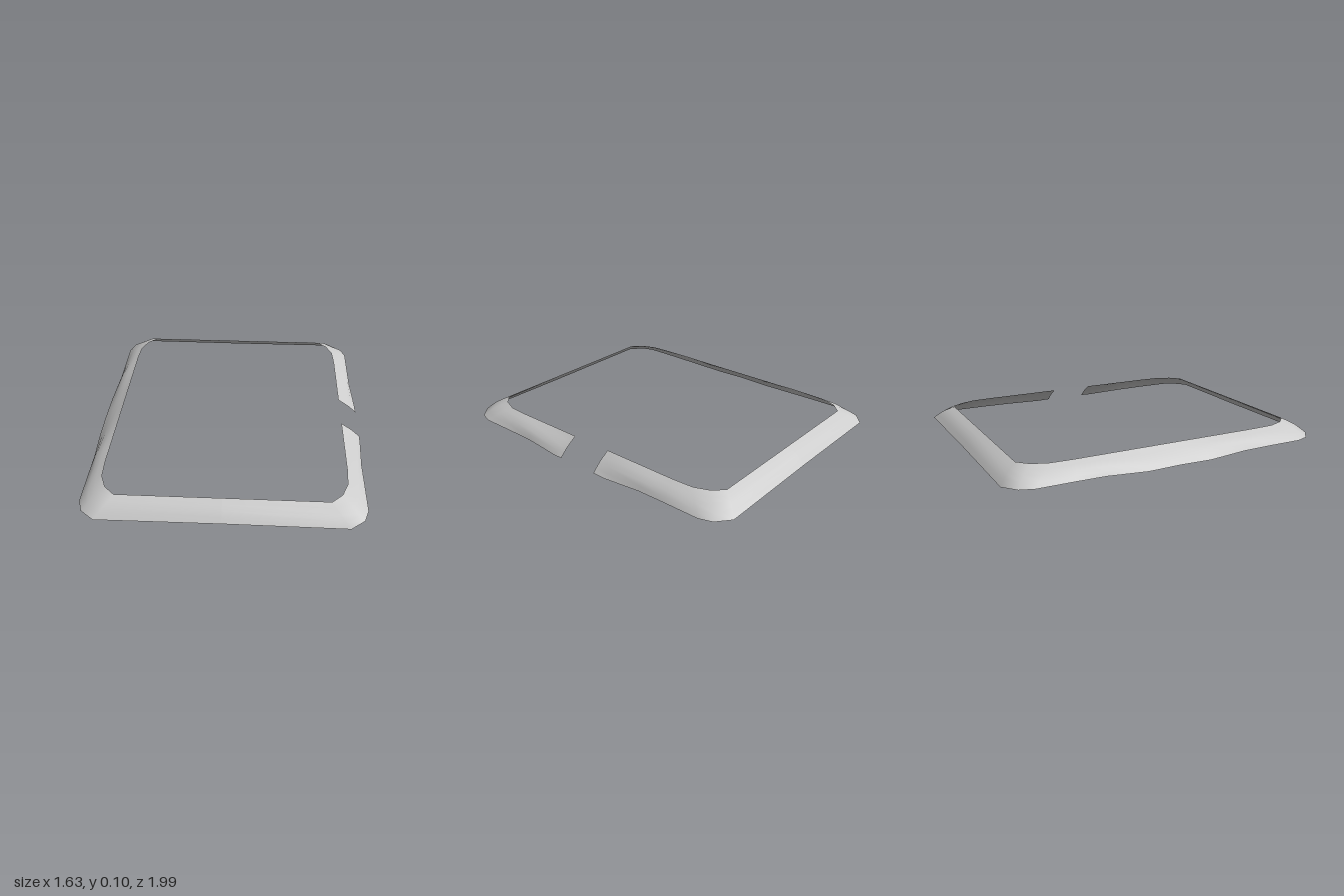
import * as THREE from 'three';

// Cross-sections of one quarter, from the middle of a short side around the corner
// to the middle of a long side: [inner x, z], [middle x, y, z], [outer x, y, z]
const TOP = 0.097;
const quarter = [
  [[0, 0.88], [0, 0.062, 0.945], [0, 0.013, 0.993]],
  [[0.595, 0.88], [0.645, 0.062, 0.945], [0.695, 0.013, 0.997]],
  [[0.655, 0.82], [0.715, 0.062, 0.88], [0.775, 0.013, 0.93]],
  [[0.69, 0.73], [0.752, 0.06, 0.79], [0.802, 0.013, 0.85]],
  [[0.697, 0.6], [0.762, 0.06, 0.61], [0.802, 0.013, 0.63]],
  [[0.697, 0.45], [0.773, 0.058, 0.45], [0.802, 0.011, 0.45]],
  [[0.697, 0.2], [0.768, 0.047, 0.2], [0.817, 0, 0.2]],
];
// Cross-section of a long side near its middle
const sideEnd = (z, y = 0.002) => [[0.697, z], [0.768, 0.048, z], [0.817, y, z]];

const place = (section, sx, sz) => section.map((p) =>
  p.length === 2 ? [p[0] * sx, TOP, p[1] * sz] : [p[0] * sx, p[1], p[2] * sz]);

export function createModel() {
  const group = new THREE.Group();
  group.name = 'slopedFrame';

  // Run from the front edge of the gap, around the frame, to its back edge
  const back = [...quarter].reverse();
  const sections = [
    place(sideEnd(0.145), 1, 1),
    ...back.map((s) => place(s, 1, 1)),
    ...quarter.slice(1).map((s) => place(s, -1, 1)),
    place(sideEnd(0, 0.004), -1, 1),
    ...back.map((s) => place(s, -1, -1)),
    ...quarter.slice(1).map((s) => place(s, 1, -1)),
    place(sideEnd(0.12), 1, -1),
  ];

  // Round each section into a shallow convex curve
  const steps = 4;
  const positions = [];
  const index = [];
  sections.forEach((section, i) => {
    const curve = new THREE.CatmullRomCurve3(section.map((p) => new THREE.Vector3(...p)));
    for (let j = 0; j <= steps; j++) positions.push(...curve.getPoint(j / steps).toArray());
    if (i === 0) return;
    for (let j = 0; j < steps; j++) {
      const a = (i - 1) * (steps + 1) + j;
      const b = a + steps + 1;
      index.push(a, b, a + 1, b, b + 1, a + 1);
    }
  });

  const geometry = new THREE.BufferGeometry();
  geometry.setAttribute('position', new THREE.Float32BufferAttribute(positions, 3));
  geometry.setIndex(index);
  geometry.computeVertexNormals();

  // Thin open band, seen from both sides
  const band = new THREE.Mesh(geometry, new THREE.MeshStandardMaterial({
    color: 0xcccccc, side: THREE.DoubleSide,
  }));
  band.name = 'slopedBand';
  group.add(band);
  return group;
}
